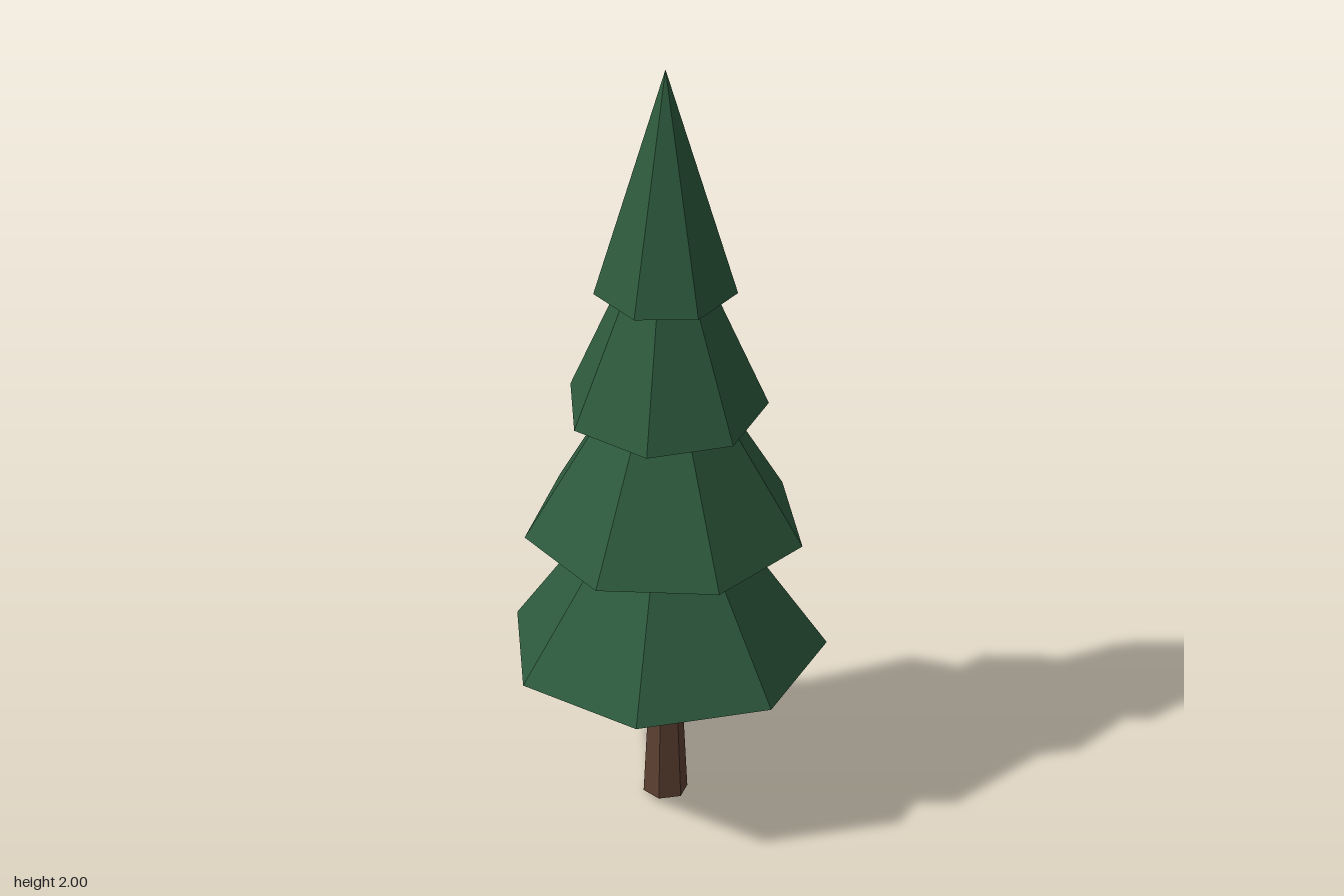
import * as THREE from 'three';

const rad = THREE.MathUtils.degToRad;

export function createModel() {
  const tree = new THREE.Group();
  tree.name = 'pineTree';

  const needles = new THREE.MeshStandardMaterial({ color: 0x2d5a3d });
  needles.name = 'needle green';
  const bark = new THREE.MeshStandardMaterial({ color: 0x5c4033 });
  bark.name = 'bark brown';

  // Faceted, capped cone or frustum standing at height y, turned by an angle in degrees
  function addPart(name, rTop, rBottom, y, height, sides, turn, material) {
    const smooth = new THREE.CylinderGeometry(rTop, rBottom, height, sides, 1, false, rad(turn));
    const geometry = smooth.toNonIndexed();
    geometry.computeVertexNormals();
    geometry.translate(0, y + height / 2, 0);
    const mesh = new THREE.Mesh(geometry, material);
    mesh.name = name;
    mesh.position.set(-0.011, 0, 0.008);
    tree.add(mesh);
  }

  // Tapered six-sided trunk, running up into the lowest tier
  addPart('trunk', 0.03, 0.053, 0, 0.48, 6, 34, bark);

  // Overlapping seven-sided foliage cones: radius, base height, cone height, turn
  const tiers = [
    ['bottomFoliage', 0.382, 0.395, 0.575, 32.15],
    ['lowerFoliage', 0.338, 0.73, 0.585, 13.4],
    ['upperFoliage', 0.245, 1.065, 0.6, 32.15],
    ['topFoliage', 0.176, 1.4, 0.6, 17.6],
  ];
  for (const [name, radius, y, height, turn] of tiers) {
    addPart(name, 0, radius, y, height, 7, turn, needles);
  }

  return tree;
}
